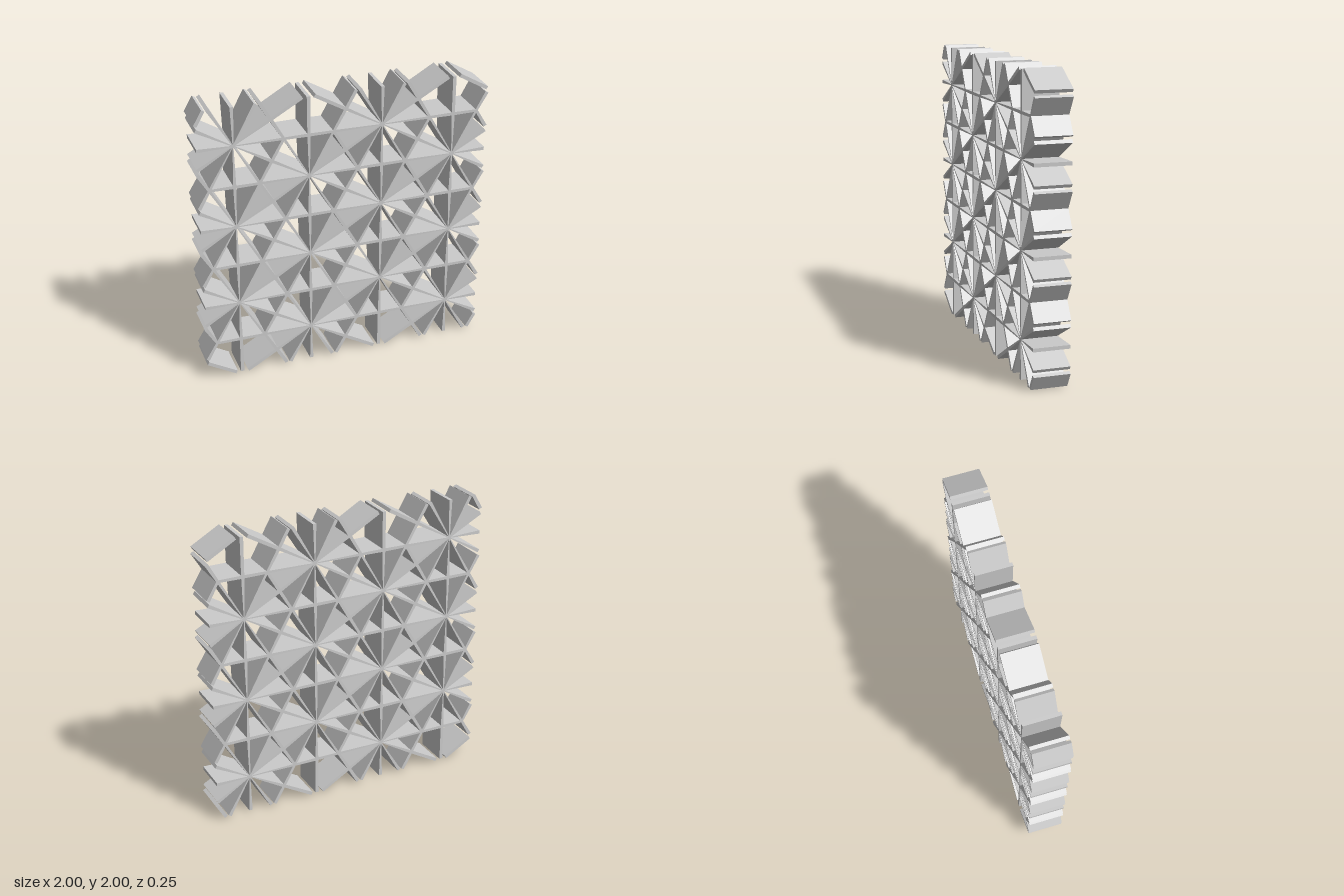
import * as THREE from 'three';

const COL = 0.5014;               // hub column spacing
const ROW = COL * 2 / Math.sqrt(3); // hub spacing within a column
const LIMIT = 0.9895;             // half size of the square panel
const DEPTH = 0.246;
// slat widths at each kind of joint
const HUB = 0.006, CENTROID = 0.018, MID = 0.022, FREE = 0.024;

const inside = (p) => Math.abs(p.x) < LIMIT && Math.abs(p.y) < LIMIT;

// clip the line a-b to the square; returns the start and end fraction, or null
function clip(a, b) {
  let t0 = 0, t1 = 1;
  for (const k of ['x', 'y']) {
    const d = b[k] - a[k];
    if (Math.abs(d) < 1e-6) {
      if (Math.abs(a[k]) > LIMIT) return null;
      continue;
    }
    const u = (-LIMIT - a[k]) / d, v = (LIMIT - a[k]) / d;
    t0 = Math.max(t0, Math.min(u, v));
    t1 = Math.min(t1, Math.max(u, v));
  }
  return t1 - t0 > 0.01 ? [t0, t1] : null;
}

// outline of one tapered slat with square-cut ends
function slat(list, a, b, wa, wb) {
  const range = clip(a, b);
  if (!range) return;
  const [t0, t1] = range;
  const p = a.clone().lerp(b, t0), q = a.clone().lerp(b, t1);
  const n = new THREE.Vector2(a.y - b.y, b.x - a.x).normalize();
  const hp = (t0 > 0 ? FREE : wa) / 2, hq = (t1 < 1 ? FREE : wb) / 2;
  list.push(new THREE.Shape([
    p.clone().addScaledVector(n, -hp), q.clone().addScaledVector(n, -hq),
    q.clone().addScaledVector(n, hq), p.clone().addScaledVector(n, hp),
  ]));
}

export function createModel() {
  const group = new THREE.Group();
  group.name = 'latticePanel';
  const edges = [], medians = [], links = [];
  const step = (h, angle, r) =>
    new THREE.Vector2(h.x + r * Math.cos(angle), h.y + r * Math.sin(angle));

  // hubs on a triangular grid, each with six edge slats and six median slats
  for (let i = -4; i <= 3; i++) {
    for (let j = -4; j <= 4; j++) {
      const shift = i % 2 === 0 ? 0.25 : -0.25;
      const hub = new THREE.Vector2((i + 0.5) * COL, (j + shift) * ROW);
      for (let k = 0; k < 6; k++) {
        const angle = k * Math.PI / 3;
        const centroid = step(hub, angle, COL * 2 / 3);
        const opposite = step(hub, angle, COL);
        const middle = step(hub, angle + Math.PI / 6, ROW / 2);
        slat(edges, hub, middle, HUB, MID);
        if (inside(hub)) slat(medians, hub, centroid, HUB, CENTROID);
        slat(links, centroid, opposite, CENTROID, MID);
      }
    }
  }

  const material = new THREE.MeshStandardMaterial({ color: 0xcccccc });
  const parts = { edgeSlats: edges, medianSlats: medians, linkSlats: links };
  for (const [name, shapes] of Object.entries(parts)) {
    const geometry = new THREE.ExtrudeGeometry(shapes, { depth: DEPTH, bevelEnabled: false });
    geometry.translate(0, 1, -DEPTH / 2);
    const mesh = new THREE.Mesh(geometry, material);
    mesh.name = name;
    group.add(mesh);
  }
  return group;
}
